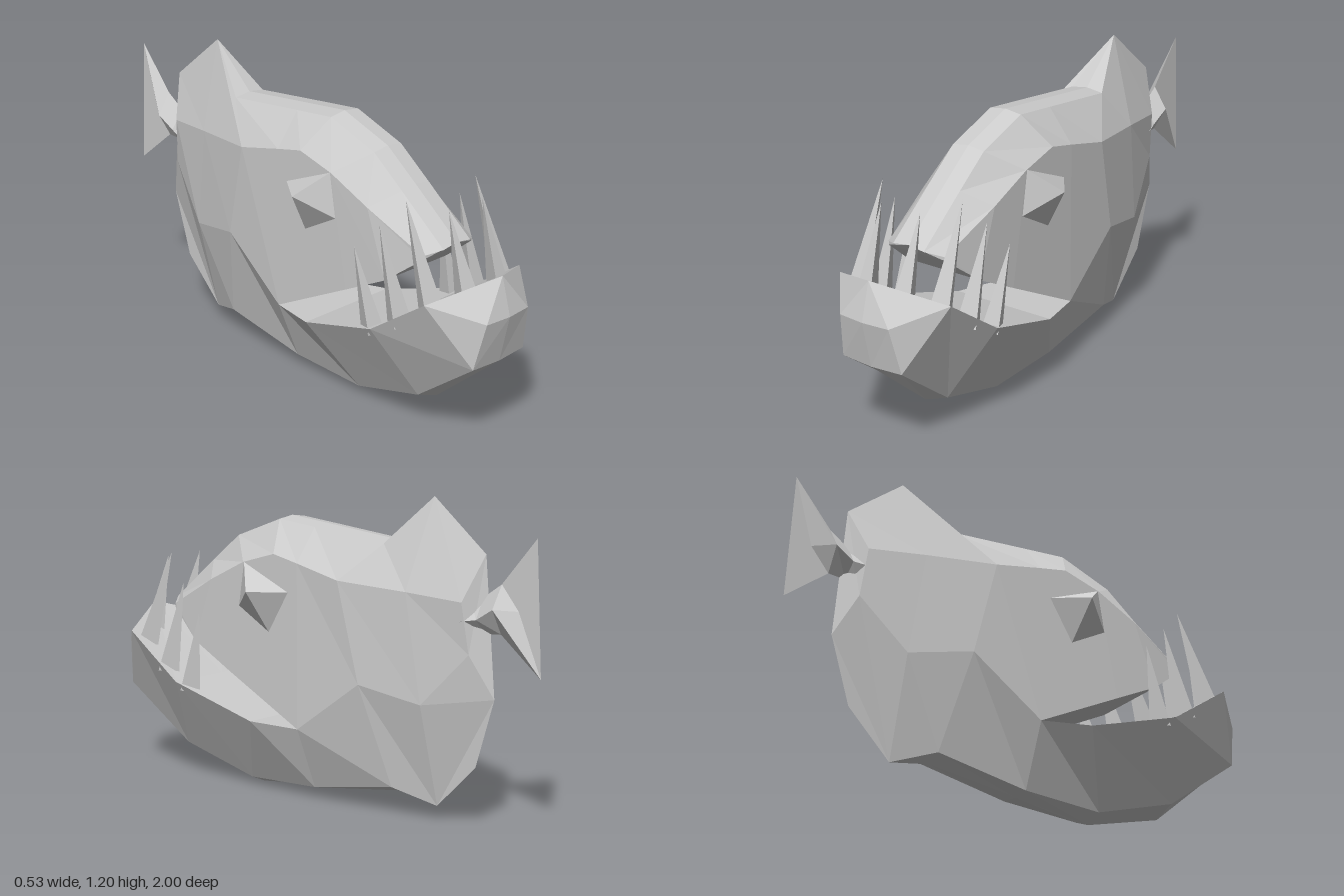
import * as THREE from 'three';

const material = new THREE.MeshStandardMaterial({ color: 0xcccccc, flatShading: true });

// Skin a list of equal-length point loops (clockwise seen from the first loop), with capped ends.
function loft(name, rings) {
  const pos = [];
  const tri = (a, b, c) => {
    const [A, B, C] = [a, b, c].map((p) => new THREE.Vector3(...p));
    if (new THREE.Triangle(A, B, C).getArea() > 1e-6) pos.push(...a, ...b, ...c);
  };
  const n = rings[0].length;
  for (let i = 0; i < rings.length - 1; i++) {
    for (let j = 0; j < n; j++) {
      const k = (j + 1) % n, r = rings[i], s = rings[i + 1];
      tri(r[j], r[k], s[k]);
      tri(r[j], s[k], s[j]);
    }
  }
  const first = rings[0], last = rings[rings.length - 1];
  for (let j = 1; j < n - 1; j++) {
    tri(first[0], first[j + 1], first[j]);
    tri(last[0], last[j], last[j + 1]);
  }
  const geometry = new THREE.BufferGeometry();
  geometry.setAttribute('position', new THREE.Float32BufferAttribute(pos, 3));
  geometry.computeVertexNormals();
  const mesh = new THREE.Mesh(geometry, material);
  mesh.name = name;
  return mesh;
}

const flip = ([x, y, z]) => [-x, y, z];
// Complete a half loop (top centre, +x side, bottom centre) to a symmetric loop.
const whole = (half) => [...half, ...half.slice(1, -1).reverse().map(flip)];
const flipRing = (ring) => ring.map(flip).reverse();

function addPair(group, name, rings) {
  group.add(loft('left' + name, rings), loft('right' + name, rings.map(flipRing)));
}

const RIDGE = 0.07; // half width of the flat strip along the back and keel

// Half section of the body: top centre, shoulder, upper side, flank, lower ridge, keel
const section = (w, [y, z], side, flank, ridge, keel) =>
  [[0, y, z], [w, y - 0.14 * w, z], side, flank, ridge, [0, ...keel]];

// Head section: the flat palate spans between the two lips
const headSection = ([top, side, [y, z]]) =>
  section(RIDGE, top, side, [side[0], y, z], [RIDGE, y, z], [y, z]);

export function createModel() {
  const fish = new THREE.Group();
  fish.name = 'fish';

  // Head, front to back: top (y, z), upper side (x, y, z), lip (y, z)
  const head = [
    [[0.725, 0.745], [0.13, 0.695, 0.7], [0.68, 0.7]],
    [[0.89, 0.54], [0.165, 0.82, 0.46], [0.565, 0.55]],
    [[1.0, 0.4], [0.17, 0.905, 0.28], [0.47, 0.36]],
    [[1.08, 0.18], [0.17, 0.95, 0.12], [0.38, 0.18]],
    [[1.063, 0], [0.17, 0.925, 0], [0.29, 0]],
  ].map(headSection);

  // Trunk behind the mouth corner: belly, dorsal fin peak, rear edge
  const trunk = [
    section(RIDGE, [1.063, 0], [0.17, 0.925, 0], [0.17, 0.29, 0], [RIDGE, 0.045, 0], [0.04, 0]),
    section(RIDGE, [1.03, -0.34], [0.17, 0.88, -0.2], [0.155, 0.5, -0.29], [0.065, 0.11, -0.38], [0.085, -0.38]),
    section(0, [1.2, -0.52], [0.115, 0.86, -0.48], [0.1, 0.45, -0.54], [0, 0.055, -0.545], [0.055, -0.545]),
    section(0, [1.01, -0.755], [0.07, 0.84, -0.7], [0.05, 0.65, -0.72], [0, 0.49, -0.8], [0.23, -0.72]),
  ];
  fish.add(loft('head', head.map(whole)), loft('trunk', trunk.map(whole)));

  // Lower jaw: mouth floor centre, rim, lower ridge, keel
  const jaw = [
    [[0, 0.663, 0.96], [0.11, 0.518, 0.99], [0.11, 0.518, 0.99], [0, 0.518, 1]],
    [[0, 0.663, 0.96], [0.255, 0.585, 0.825], [0.135, 0.34, 0.955], [0, 0.335, 0.96]],
    [[0, 0.41, 0.57], [0.258, 0.41, 0.57], [0.1, 0.125, 0.665], [0, 0.09, 0.67]],
    [[0, 0.3, 0.2], [0.22, 0.3, 0.2], [0.07, 0.03, 0.335], [0, 0, 0.335]],
    [[0, 0.29, 0], [0.17, 0.29, 0], [0.07, 0.045, 0], [0, 0.04, 0]],
  ];
  fish.add(loft('lowerJaw', jaw.map(whole)));

  // Forked tail fin of diamond sections: upper edge, side, lower edge
  const tail = [
    [[0, 0.85, -0.69], [0.068, 0.77, -0.69], [0, 0.66, -0.7]],
    [[0, 0.855, -0.745], [0.05, 0.78, -0.75], [0, 0.725, -0.755]],
    [[0, 0.91, -0.825], [0.055, 0.825, -0.825], [0, 0.73, -0.825]],
    [[0, 1.085, -0.975], [0, 0.82, -0.9], [0, 0.59, -1]],
  ];
  fish.add(loft('tailFin', tail.map(whole)));

  // Eyes: four-sided pyramids on the cheeks
  const eyeBase = [[0.28, 0.91], [0.31, 0.73], [0.145, 0.64], [0.04, 0.81]].map(([z, y]) => [0.165, y, z]);
  addPair(fish, 'Eye', [eyeBase, Array(4).fill([0.265, 0.81, 0.175])]);

  // Teeth: three-sided spikes leaning backwards; base x, y, z, half width, then tip
  const teeth = [
    [0.085, 0.57, 0.9, 0.036, [0.088, 0.88, 0.78]],
    [0.19, 0.53, 0.825, 0.042, [0.182, 0.912, 0.662]],
    [0.205, 0.44, 0.69, 0.042, [0.212, 0.805, 0.565]],
    [0.212, 0.375, 0.565, 0.036, [0.232, 0.695, 0.46]],
  ];
  for (const [x, y, z, w, tip] of teeth) {
    const base = [[x - w, y, z], [x + w, y, z - 0.01], [x, y, z - 0.085]];
    addPair(fish, 'Tooth', [base, [tip, tip, tip]]);
  }
  return fish;
}
